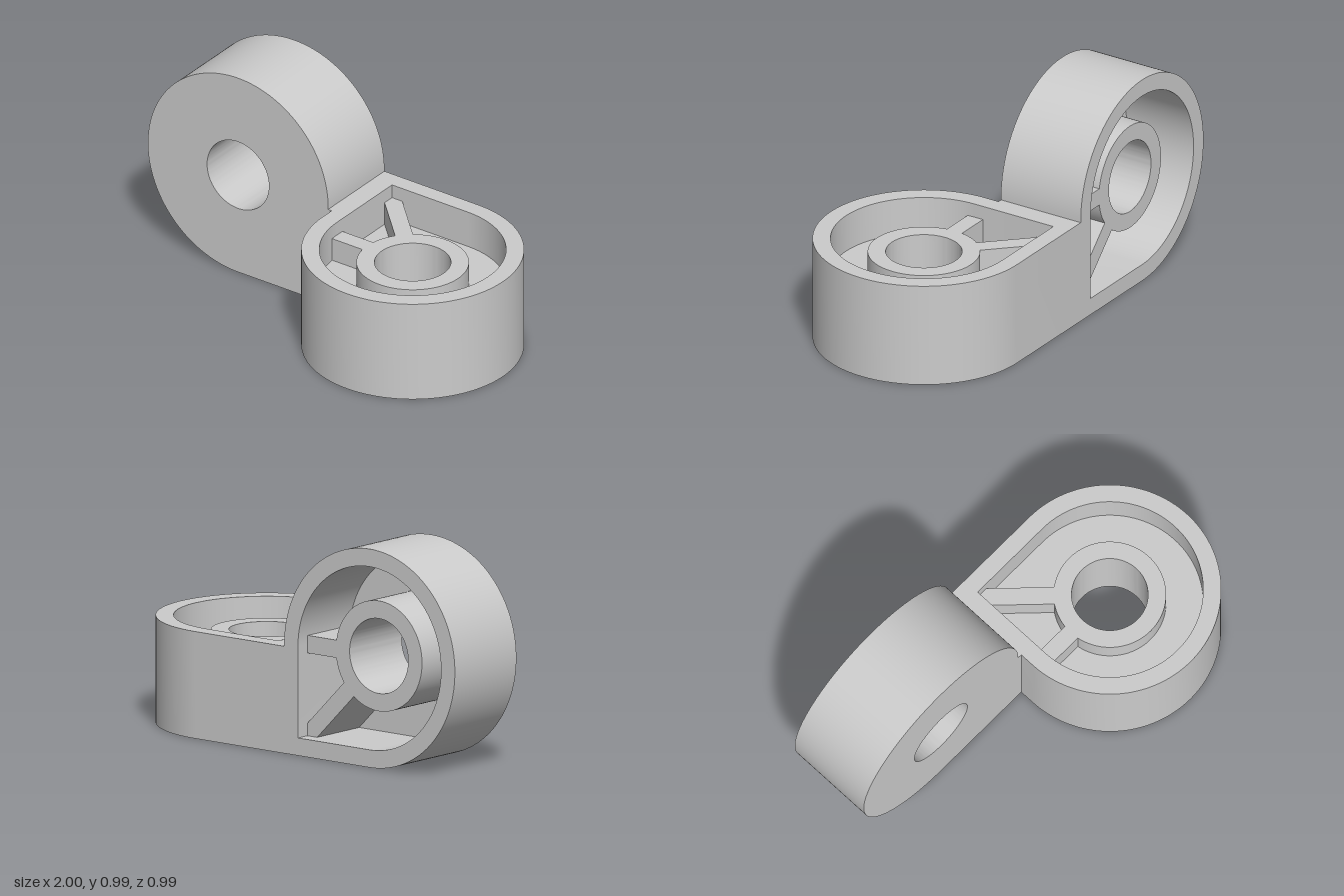
import * as THREE from 'three';
import { toCreasedNormals } from 'three/addons/utils/BufferGeometryUtils.js';

const R = 0.495, INNER = 0.415, BOSS = 0.25, HOLE = 0.17, RIB = 0.08;
const material = new THREE.MeshStandardMaterial({ color: 0xcccccc });

// Three-quarter circle with one square corner at (+r, -r)
function teardrop(r, Type = THREE.Shape) {
  const s = new Type();
  s.moveTo(r, 0);
  s.absarc(0, 0, r, 0, Math.PI * 1.5, false);
  s.lineTo(r, -r);
  s.lineTo(r, 0);
  return s;
}

function circle(r, Type = THREE.Shape) {
  const s = new Type();
  s.absarc(0, 0, r, 0, Math.PI * 2, false);
  return s;
}

// Extrude an outline with one hole between two depths
function slab(name, outline, hole, z0, z1) {
  outline.holes.push(hole);
  const geo = new THREE.ExtrudeGeometry(outline, {
    depth: z1 - z0, bevelEnabled: false, curveSegments: 64,
  });
  geo.translate(0, 0, z0);
  const mesh = new THREE.Mesh(toCreasedNormals(geo, 0.5), material);
  mesh.name = name;
  return mesh;
}

// Rib from the boss outwards at a given angle
function rib(name, angle, end, z0, z1) {
  const start = BOSS - 0.015;
  const geo = new THREE.BoxGeometry(end - start, RIB, z1 - z0);
  geo.translate((start + end) / 2, 0, (z0 + z1) / 2);
  geo.rotateZ(angle);
  const mesh = new THREE.Mesh(geo, material);
  mesh.name = name;
  return mesh;
}

// Hollow lug: rim wall, closing web, bored boss and two ribs
function lug(name, { rim, web, boss, ribs }) {
  const g = new THREE.Group();
  g.name = name;
  g.add(
    slab('rimWall', teardrop(R), teardrop(INNER, THREE.Path), ...rim),
    slab('web', teardrop(INNER), circle(BOSS, THREE.Path), ...web),
    slab('boss', circle(BOSS), circle(HOLE, THREE.Path), ...boss),
    rib('sideRib', 0, INNER + 0.01, ...ribs),
    rib('cornerRib', -Math.PI / 4, INNER * Math.SQRT2 + 0.01, ...ribs),
  );
  return g;
}

export function createModel() {
  const model = new THREE.Group();
  model.name = 'hingeBracket';

  // Upright lug, closed at the front and open at the back
  const upright = lug('uprightLug', {
    rim: [-0.495, -0.07], web: [-0.14, -0.07], boss: [-0.43, -0.07], ribs: [-0.43, -0.1],
  });
  upright.position.set(-0.505, R, 0);
  model.add(upright);

  // Flat lug, recessed above and below
  const flat = lug('flatLug', {
    rim: [0, 0.485], web: [0.25, 0.31], boss: [0.06, 0.42], ribs: [0.06, 0.42],
  });
  flat.quaternion.setFromRotationMatrix(new THREE.Matrix4().makeBasis(
    new THREE.Vector3(-1, 0, 0), new THREE.Vector3(0, 0, 1), new THREE.Vector3(0, 1, 0)));
  flat.position.set(0.505, 0, 0);
  model.add(flat);

  // Narrow bridge joining the two square corners
  const bridge = new THREE.Mesh(new THREE.BoxGeometry(0.02, 0.485, 0.425), material);
  bridge.name = 'bridge';
  bridge.position.set(0, 0.2425, -0.2825);
  model.add(bridge);

  return model;
}
